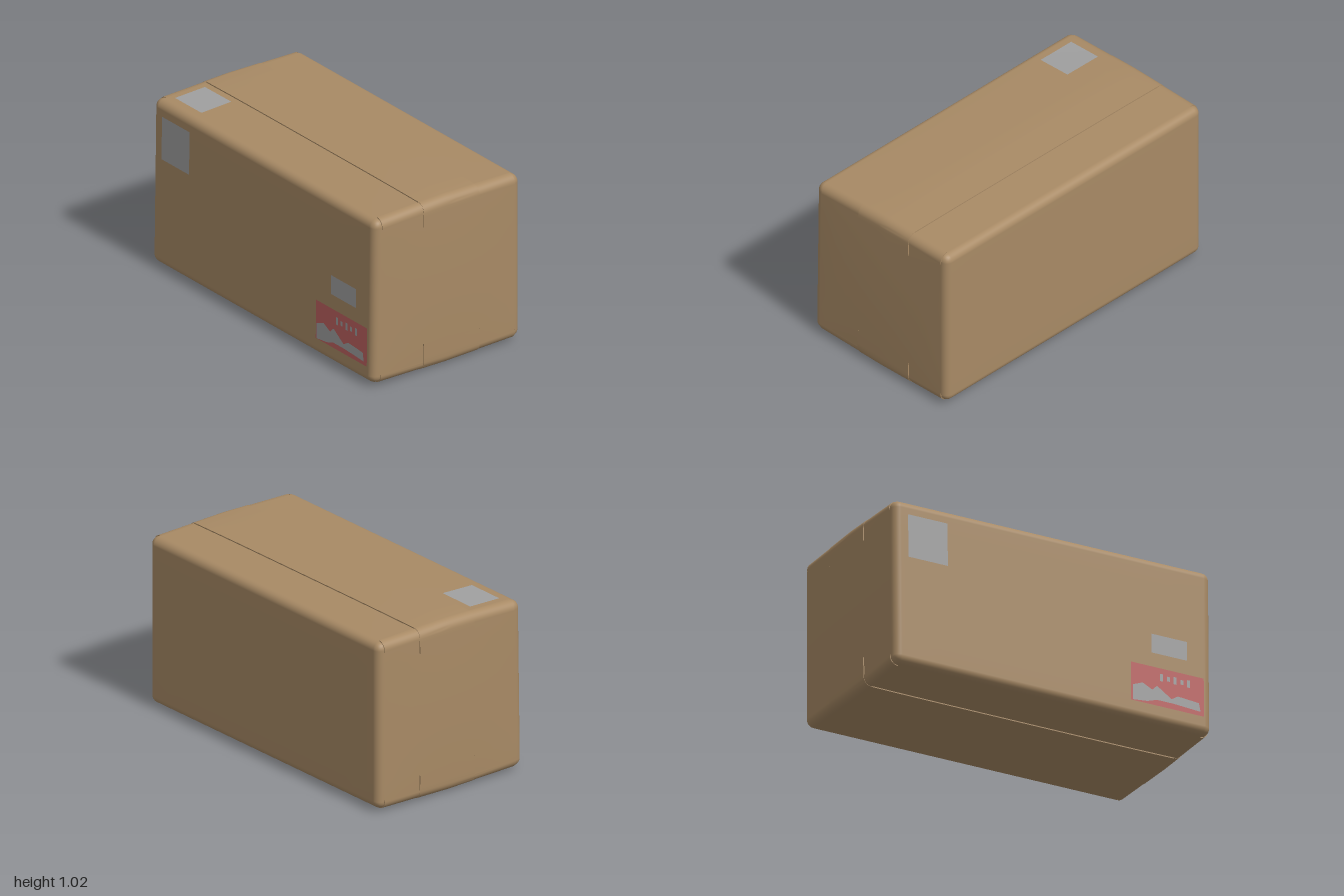
import * as THREE from 'three';
import { mergeVertices, toCreasedNormals } from 'three/addons/utils/BufferGeometryUtils.js';

const HX = 0.507, HY = 0.488, HZ = 0.984, MID = 0.508, R = 0.045;

// Gentle sag and bulge shared by every part, so tape and labels follow the box.
function deform(geo) {
  const p = geo.attributes.position;
  for (let i = 0; i < p.count; i++) {
    const x = p.getX(i), y = p.getY(i), z = p.getZ(i), v = (y - MID) / HY;
    const crown = Math.max(0, 1 - Math.abs(x) / 0.5) * (1 - 0.4 * z ** 4);
    const bulge = 0.007 * Math.max(0, 1 - v * v) * Math.max(0, 1 - 4 * x * x);
    p.setXYZ(i, x + Math.max(0, -x) * 0.028 * y, y + crown * v * (v > 0 ? 0.018 : 0.014), z * (1 + bulge));
  }
  geo.computeVertexNormals();
  return geo;
}

// Box with rounded edges: four segments in each edge, eight across each flat.
function roundedBody() {
  let geo = new THREE.BoxGeometry(1, 1, 1, 16, 16, 16);
  geo.deleteAttribute('uv');
  geo.deleteAttribute('normal');
  geo = mergeVertices(geo);
  const p = geo.attributes.position, v = new THREE.Vector3();
  const inner = new THREE.Vector3(HX - R, HY - R, HZ - R), core = new THREE.Vector3();
  const remap = (u, flat) => {
    const k = Math.abs(u) * 16;
    return Math.sign(u) * (k > 4 ? flat + R * (k - 4) / 4 : flat * k / 4);
  };
  for (let i = 0; i < p.count; i++) {
    v.set(remap(p.getX(i), inner.x), remap(p.getY(i), inner.y), remap(p.getZ(i), inner.z));
    core.copy(v).clamp(inner.clone().negate(), inner);
    v.sub(core);
    if (v.lengthSq() > 0) v.setLength(R);
    v.add(core);
    p.setXYZ(i, v.x, v.y + MID, v.z);
  }
  return deform(geo);
}

// Path [y, z] up the front face and around the top edge, lifted by off.
function cornerPath(off, yEnd) {
  const pts = [];
  for (let i = 0; i < 4; i++) {
    pts.push([THREE.MathUtils.lerp(yEnd, HY - R, i / 4), HZ + off]);
  }
  for (let i = 0; i <= 8; i++) {
    const a = i / 8 * Math.PI / 2;
    pts.push([HY - R + (R + off) * Math.sin(a), HZ - R + (R + off) * Math.cos(a)]);
  }
  return pts;
}

// Full path over the top and down the back.
function wrapPath(off, yEnd) {
  const front = cornerPath(off, yEnd), span = [];
  for (let i = 1; i < 16; i++) span.push([HY + off, (HZ - R) * (1 - i / 8)]);
  return [...front, ...span, ...front.map(([y, z]) => [y, -z]).reverse()];
}

// Surface through one path per column; sy and sz mirror it to other edges.
function strip(columns, path, sy, sz) {
  const pos = [], index = [];
  const rows = columns.map(([x, off, yEnd]) => path(off, yEnd).map(([y, z]) => [x, MID + sy * y, sz * z]));
  const n = rows[0].length;
  rows.forEach((row, c) => row.forEach((pt, i) => {
    pos.push(...pt);
    if (c === 0 || i === 0) return;
    const d = c * n + i, a = d - n - 1, b = d - n, e = d - 1;
    if (sy * sz > 0) index.push(a, e, d, a, d, b);
    else index.push(a, d, e, a, b, d);
  }));
  const geo = new THREE.BufferGeometry();
  geo.setAttribute('position', new THREE.Float32BufferAttribute(pos, 3));
  geo.setIndex(index);
  return toCreasedNormals(deform(geo), 0.6);
}

// Flat patch on the -x side from [z, y] corners.
function sidePatch(points, lift) {
  const shape = new THREE.Shape(points.map(([z, y]) => new THREE.Vector2(z, y)));
  return deform(new THREE.ShapeGeometry(shape).rotateY(-Math.PI / 2).translate(-HX - lift, 0, 0));
}

const rect = (z0, z1, y0, y1) => [[z0, y0], [z1, y0], [z1, y1], [z0, y1]];

export function createModel() {
  const group = new THREE.Group();
  const material = (name, color) => {
    const m = new THREE.MeshStandardMaterial({ color, side: THREE.DoubleSide });
    m.name = name;
    return m;
  };
  const cardboard = material('cardboard brown', 0xa88a65);
  const grey = material('label grey', 0xa0a0a0);
  const red = material('label red', 0xbd6260);
  const add = (name, geo, mat) => {
    const mesh = new THREE.Mesh(geo, mat);
    mesh.name = name;
    group.add(mesh);
  };

  add('boxBody', roundedBody(), cardboard);

  // Wide tape over the top and bottom seams, with tabs on both ends
  const tape = (ends) => [[-0.165, -0.001], [-0.165, 0.006], [0, 0.006], [0.06, 0.006], [0.22, 0.006], [0.22, -0.001]]
    .map(([x, off], i) => [x, off, ends[i]]);
  add('topTape', strip(tape([0.36, 0.36, 0.36, 0.36, 0.36, 0.36]), wrapPath, 1, 1), cardboard);
  add('bottomTape', strip(tape([0.33, 0.33, 0.325, 0.345, 0.35, 0.35]), wrapPath, -1, 1), cardboard);

  // Folded flap lips along the end edges, either side of the tape
  for (const sy of [1, -1]) {
    for (const sz of [1, -1]) {
      for (const [x0, x1] of [[-0.455, -0.165], [0.22, 0.465]]) {
        const columns = [[x0, -0.001], [x0, 0.004], [x1, 0.004], [x1, -0.001]].map(([x, off]) => [x, off, 0.435]);
        add('flapLip', strip(columns, cornerPath, sy, sz), cardboard);
      }
    }
  }

  // Labels on the top and the side
  const topLabel = new THREE.PlaneGeometry(0.21, 0.235).rotateX(-Math.PI / 2)
    .translate(-0.315, MID + HY + 0.004, -0.782);
  add('topLabel', deform(topLabel), grey);
  add('sideLabelUpper', sidePatch(rect(-0.9, -0.655, 0.66, 0.915), 0.003), grey);
  add('sideLabelSmall', sidePatch(rect(0.61, 0.83, 0.43, 0.543), 0.003), grey);
  add('warningLabel', sidePatch(rect(0.48, 0.933, 0.117, 0.346), 0.003), red);

  // Worn patch and small marks on the red label
  add('wornPatch', sidePatch([[0.49, 0.12], [0.58, 0.13], [0.64, 0.15], [0.74, 0.15], [0.91, 0.14],
    [0.9, 0.19], [0.77, 0.2], [0.73, 0.175], [0.64, 0.235], [0.61, 0.205], [0.55, 0.235], [0.49, 0.21]], 0.006), grey);
  for (let i = 0; i < 5; i++) {
    const z = 0.66 + i * 0.042, h = i % 2 ? 0.014 : 0.022;
    add('labelMark', sidePatch(rect(z, z + 0.018, 0.29 - h, 0.29 + h), 0.006), grey);
  }
  return group;
}
